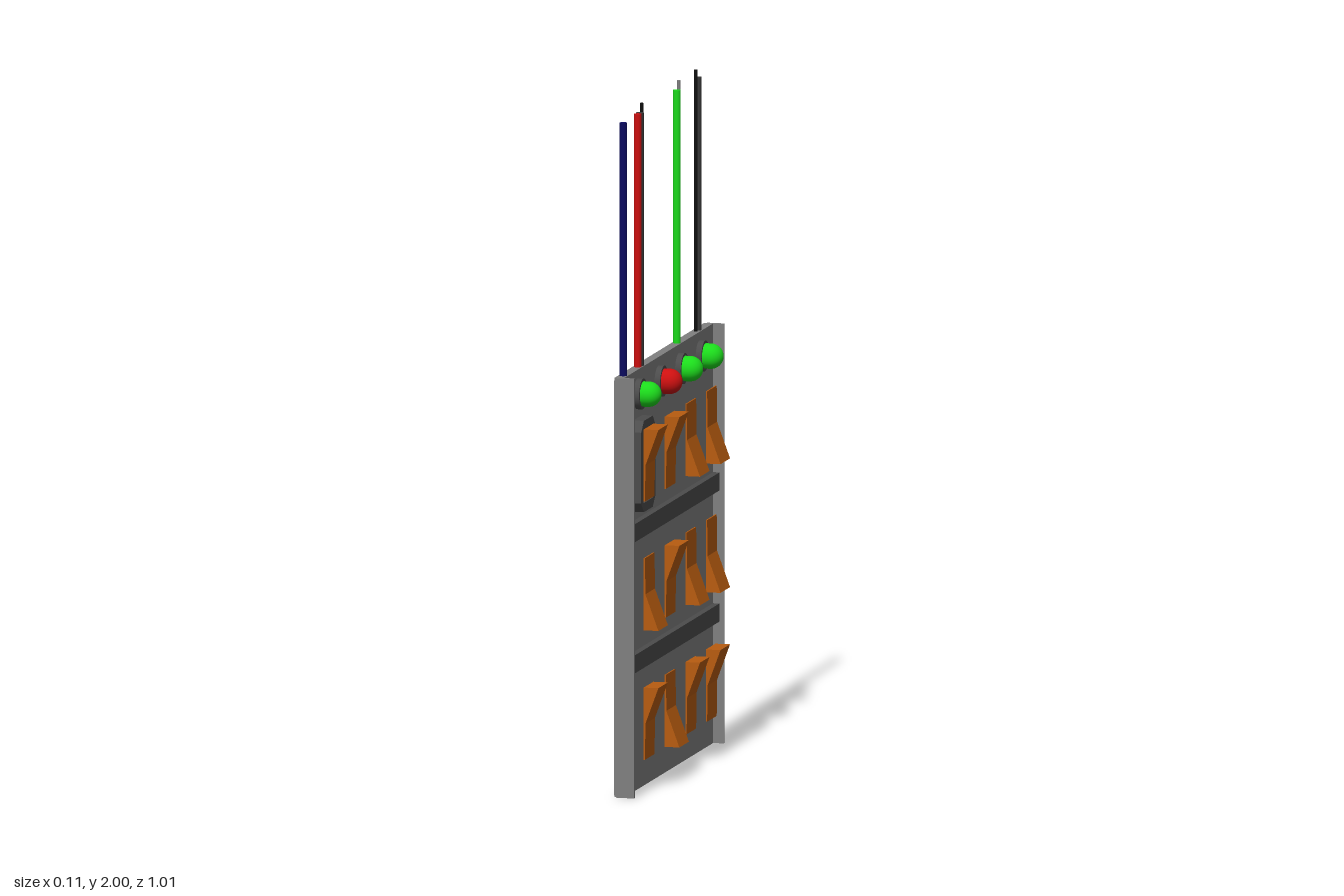
import * as THREE from 'three';

const mat = (name, color, side = THREE.FrontSide) => {
  const m = new THREE.MeshStandardMaterial({ color, side });
  m.name = name;
  return m;
};

export function createModel() {
  const grey = mat('panel grey', 0x808080);
  const dark = mat('dark trim', 0x4c4c4c);
  const orange = mat('switch orange', 0xb85c10);
  const green = mat('green', 0x1cdc1c);
  const red = mat('red', 0xcc1010);
  const blue = mat('navy', 0x0c0c60);
  const charcoal = mat('charcoal', 0x383838);
  const black = mat('black', 0x101010);

  const root = new THREE.Group();
  root.name = 'switchPanel';
  const add = (name, geo, m, x = 0, y = 0, z = 0) => {
    const mesh = new THREE.Mesh(geo, m);
    mesh.name = name;
    mesh.position.set(x, y, z);
    root.add(mesh);
    return mesh;
  };
  const shapeOf = (pts) => new THREE.Shape(pts.map(([x, y]) => new THREE.Vector2(x, y)));
  const extrude = (shape, depth) =>
    new THREE.ExtrudeGeometry(shape, { depth, bevelEnabled: false });

  const back = -0.055, face = -0.027, height = 1.232;
  const columns = [0.346, 0.113, -0.116, -0.344];

  // Back plate and its two side flanges
  add('backPlate', new THREE.BoxGeometry(face - back, height, 0.99), grey,
    (back + face) / 2, height / 2, 0);
  const flange = shapeOf([
    [back, 0.008], [back + 0.008, 0], [0.005, 0], [0.005, height],
    [back + 0.008, height], [back, height - 0.008],
  ]);
  for (const z of [-0.504, 0.494]) add('sideFlange', extrude(flange, 0.01), grey, 0, 0, z);

  // Divider bars between the rows
  for (const y of [0.769, 0.384]) {
    add('dividerBar', new THREE.BoxGeometry(0.019, 0.053, 0.988), dark, face + 0.0095, y, 0);
  }

  // Rocker switches: one half lies flat, the other rises as a wedge
  const rocker = shapeOf([[0.006, -0.106], [0.01, -0.106], [0.011, 0], [0.05, 0.106], [0.006, 0.106]]);
  const rockerGeo = extrude(rocker, 0.106).translate(0, 0, -0.053);
  const rows = [
    { y: 0.961, raisedTop: [1, 1, 0, 0] },
    { y: 0.583, raisedTop: [0, 1, 0, 0] },
    { y: 0.203, raisedTop: [1, 0, 1, 1] },
  ];
  for (const { y, raisedTop } of rows) {
    columns.forEach((z, i) => {
      const s = add('rockerSwitch', rockerGeo, orange, 0, y, z);
      if (!raisedTop[i]) s.rotation.x = Math.PI; // wedge at the bottom
    });
  }

  // Chamfered guard frame around the first switch
  const w = 0.079, h = 0.134, c = 0.03;
  const guard = shapeOf([
    [-w + c, -h], [w - c, -h], [w, -h + c], [w, h - c],
    [w - c, h], [-w + c, h], [-w, h - c], [-w, -h + c],
  ]);
  guard.holes.push(new THREE.Path([
    [-0.054, -0.107], [-0.054, 0.107], [0.054, 0.107], [0.054, -0.107],
  ].map(([x, y]) => new THREE.Vector2(x, y))));
  add('switchGuard', extrude(guard, 0.032).rotateY(Math.PI / 2), dark, face, 0.957, 0.344);

  // Indicator lamps: a dark collar and a domed lens
  const lens = [new THREE.Vector2(0.037, -0.015)];
  for (let i = 0; i <= 10; i++) {
    const a = (i / 10) * Math.PI / 2;
    lens.push(new THREE.Vector2(0.037 * Math.cos(a), 0.007 + 0.037 * Math.sin(a)));
  }
  const lensGeo = new THREE.LatheGeometry(lens, 28).rotateZ(-Math.PI / 2);
  const collarGeo = new THREE.CylinderGeometry(0.045, 0.045, 0.017, 28).rotateZ(-Math.PI / 2);
  columns.forEach((z, i) => {
    add('lampCollar', collarGeo, dark, face + 0.0085, 1.162, z);
    add('lampLens', lensGeo, i === 1 ? red : green, 0, 1.162, z);
  });

  // Wires leaving the top edge: [z, radius, top, colour]
  const wires = [
    [0.455, 0.011, 1.975, blue], [0.295, 0.011, 1.975, red],
    [0.27, 0.011, 1.975, charcoal], [0.252, 0.005, 2, black],
    [-0.139, 0.011, 1.975, green], [-0.161, 0.005, 2, grey],
    [-0.35, 0.005, 2, black], [-0.373, 0.011, 1.975, charcoal],
  ];
  for (const [z, r, top, m] of wires) {
    const len = top - 1.2;
    add('wire', new THREE.CylinderGeometry(r, r, len, 16), m, -0.04, 1.2 + len / 2, z);
  }
  return root;
}
